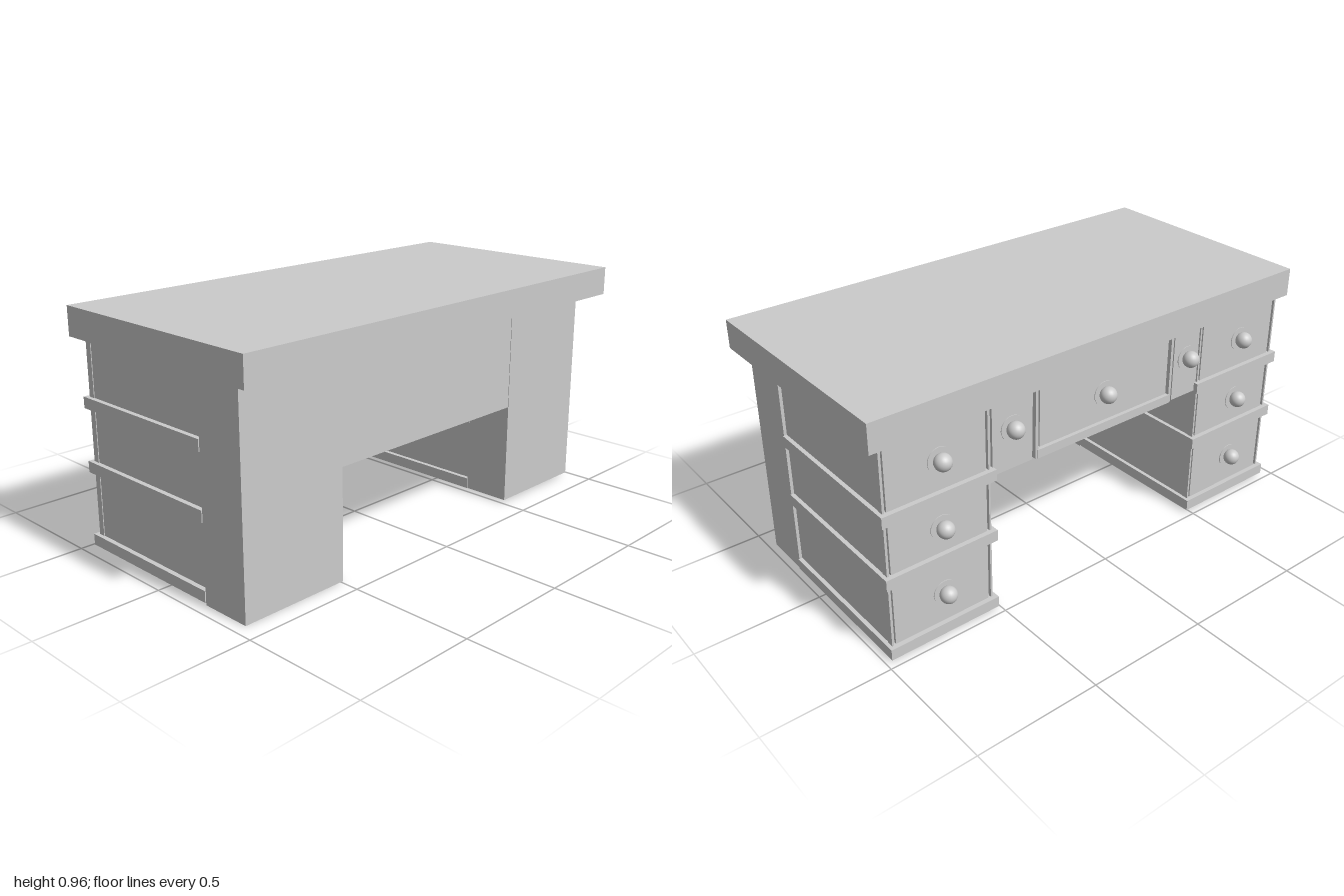
import * as THREE from 'three';

const material = new THREE.MeshStandardMaterial({ color: 0xcccccc });

export function createModel() {
  const desk = new THREE.Group();
  desk.name = 'desk';

  function add(parent, name, geometry) {
    const mesh = new THREE.Mesh(geometry, material);
    mesh.name = name;
    parent.add(mesh);
    return mesh;
  }

  // Box given by its limits on each axis
  function box(parent, name, [x0, x1], [y0, y1], [z0, z1]) {
    const mesh = add(parent, name, new THREE.BoxGeometry(x1 - x0, y1 - y0, z1 - z0));
    mesh.position.set((x0 + x1) / 2, (y0 + y1) / 2, (z0 + z1) / 2);
    return mesh;
  }

  // Drawer front with a round backplate and a ball knob
  function drawer(parent, [x0, x1], [y0, y1], knobX, knobY, knobZ = -0.48) {
    const group = new THREE.Group();
    group.name = 'drawer';
    parent.add(group);
    box(group, 'drawerFront', [x0 + 0.015, x1 - 0.015], [y0, y1], [-0.456, -0.43]);
    const plate = add(group, 'knobPlate', new THREE.CylinderGeometry(0.048, 0.048, 0.012, 24));
    plate.rotation.x = Math.PI / 2;
    plate.position.set(knobX, knobY, -0.453);
    const knob = add(group, 'knob', new THREE.SphereGeometry(0.033, 24, 16));
    knob.position.set(knobX, knobY, knobZ);
  }

  // Desktop slab
  box(desk, 'desktop', [-1, 1], [0.85, 0.965], [-0.465, 0.51]);

  // Two drawer pedestals, each with a full-width post at the front
  const pedestals = [
    { name: 'rightPedestal', x: [-0.95, -0.49], y: 0, post: [0.21, 0.42], knobX: -0.735 },
    { name: 'leftPedestal', x: [0.515, 0.975], y: 0.01, post: [0.19, 0.39], knobX: 0.735 },
  ];
  const rails = [[0.01, 0.055], [0.31, 0.355], [0.565, 0.61]];
  const openings = [[0.055, 0.31], [0.355, 0.565], [0.61, 0.85]];
  const knobHeights = [0.18, 0.46, 0.73];

  for (const { name, x: [x0, x1], y, post, knobX } of pedestals) {
    const pedestal = new THREE.Group();
    pedestal.name = name;
    desk.add(pedestal);
    box(pedestal, 'frontPost', [x0, x1], [y, 0.85], post);
    box(pedestal, 'carcass', [x0 + 0.015, x1 - 0.012], [0.012, 0.85], [-0.445, post[0]]);
    for (const rail of rails) {
      box(pedestal, 'rail', [x0 - 0.004, x1 + 0.004], rail, [-0.475, post[0]]);
    }
    openings.forEach((opening, i) => {
      drawer(pedestal, [x0 + 0.015, x1 - 0.012], opening, knobX, knobHeights[i]);
      // Thin stiles at both edges of the opening
      for (const x of [x0 + 0.012, x1 - 0.018]) {
        box(pedestal, 'stile', [x, x + 0.008], opening, [-0.458, -0.43]);
      }
    });
  }

  // Drawer row bridging the kneehole
  const bridge = new THREE.Group();
  bridge.name = 'kneeholeDrawers';
  desk.add(bridge);
  box(bridge, 'bridgeCarcass', [-0.51, 0.53], [0.6, 0.85], [-0.445, 0.37]);
  box(bridge, 'centreRail', [-0.34, 0.32], [0.575, 0.61], [-0.465, -0.42]);
  drawer(bridge, [-0.34, 0.32], [0.615, 0.85], 0, 0.73);
  for (const [x0, x1] of [[-0.51, -0.345], [0.325, 0.53]]) {
    drawer(bridge, [x0, x1], [0.575, 0.85], Math.sign(x0) * 0.43, 0.74);
  }
  for (const x of [-0.348, 0.316]) {
    box(bridge, 'divider', [x, x + 0.012], [0.575, 0.85], [-0.462, -0.43]);
  }

  // Modesty panel closing the front of the kneehole
  box(desk, 'modestyPanel', [-0.49, 0.515], [0.425, 0.85], [0.35, 0.388]);

  return desk;
}
